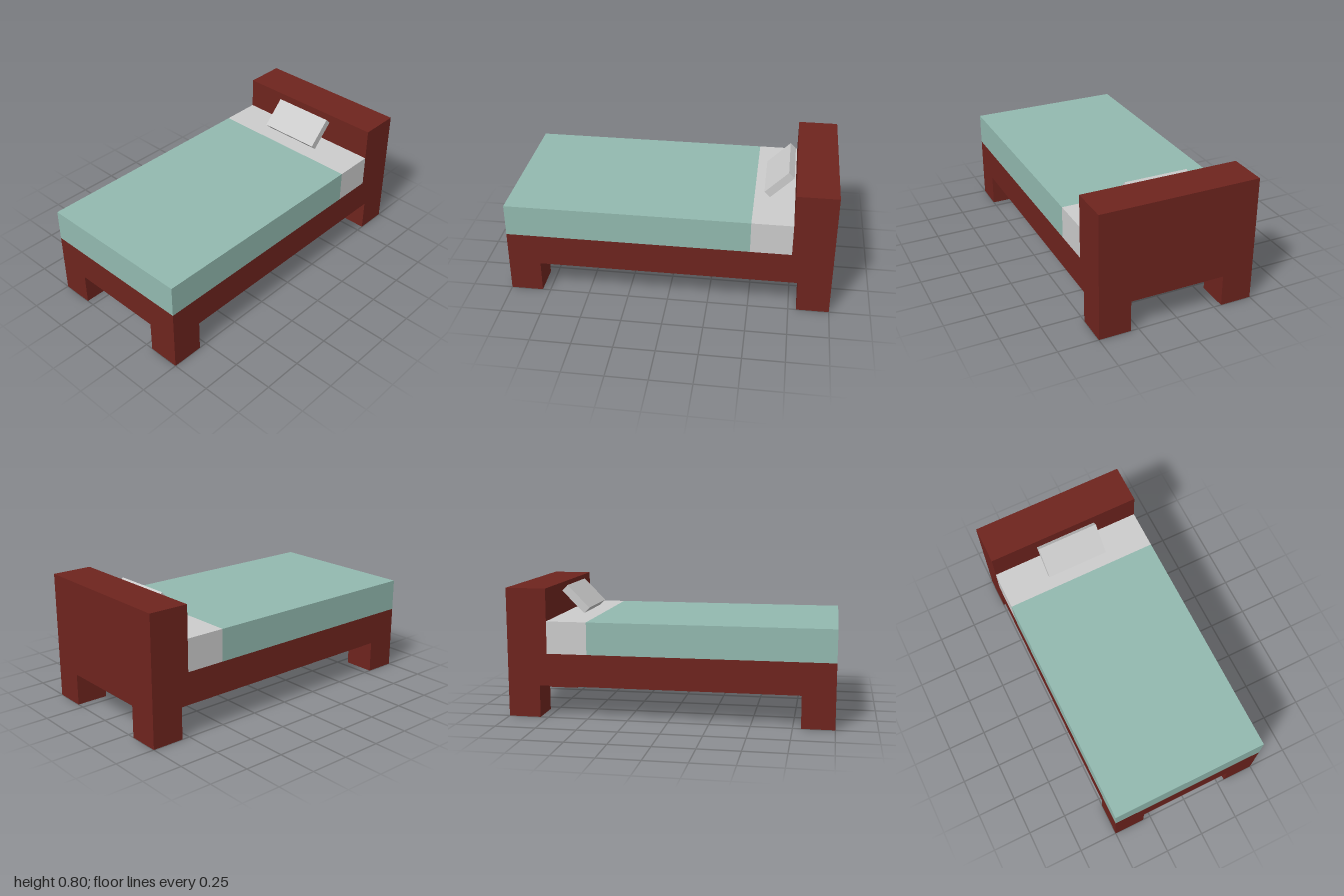
import * as THREE from 'three';

const wood = new THREE.MeshStandardMaterial({ color: 0x6e241e });
const green = new THREE.MeshStandardMaterial({ color: 0x92b9af });
const grey = new THREE.MeshStandardMaterial({ color: 0xcccccc });

// Named box from its size and centre
function box(name, material, size, centre) {
  const mesh = new THREE.Mesh(new THREE.BoxGeometry(...size), material);
  mesh.name = name;
  mesh.position.set(...centre);
  return mesh;
}

export function createModel() {
  const bed = new THREE.Group();
  bed.name = 'bed';

  // Wooden base and headboard
  bed.add(box('frame', wood, [2, 0.2, 1], [0, 0.3, 0]));
  bed.add(box('headboard', wood, [0.25, 0.4, 1], [0.875, 0.6, 0]));

  // Four square legs flush with the corners
  for (const x of [-1, 1]) {
    for (const z of [-1, 1]) {
      const name = (x > 0 ? 'head' : 'foot') + (z > 0 ? 'FrontLeg' : 'BackLeg');
      bed.add(box(name, wood, [0.2, 0.2, 0.2], [x * 0.9, 0.1, z * 0.4]));
    }
  }

  // Bedding: blanket up to the exposed sheet
  bed.add(box('blanket', green, [1.5, 0.2, 1], [-0.25, 0.5, 0]));
  bed.add(box('sheet', grey, [0.25, 0.2, 1], [0.625, 0.5, 0]));

  // Thin pillow tilted towards the headboard
  const pillow = box('pillow', grey, [0.2, 0.05, 0.4], [0.648, 0.7, 0]);
  pillow.rotation.z = Math.PI / 4;
  bed.add(pillow);

  return bed;
}
